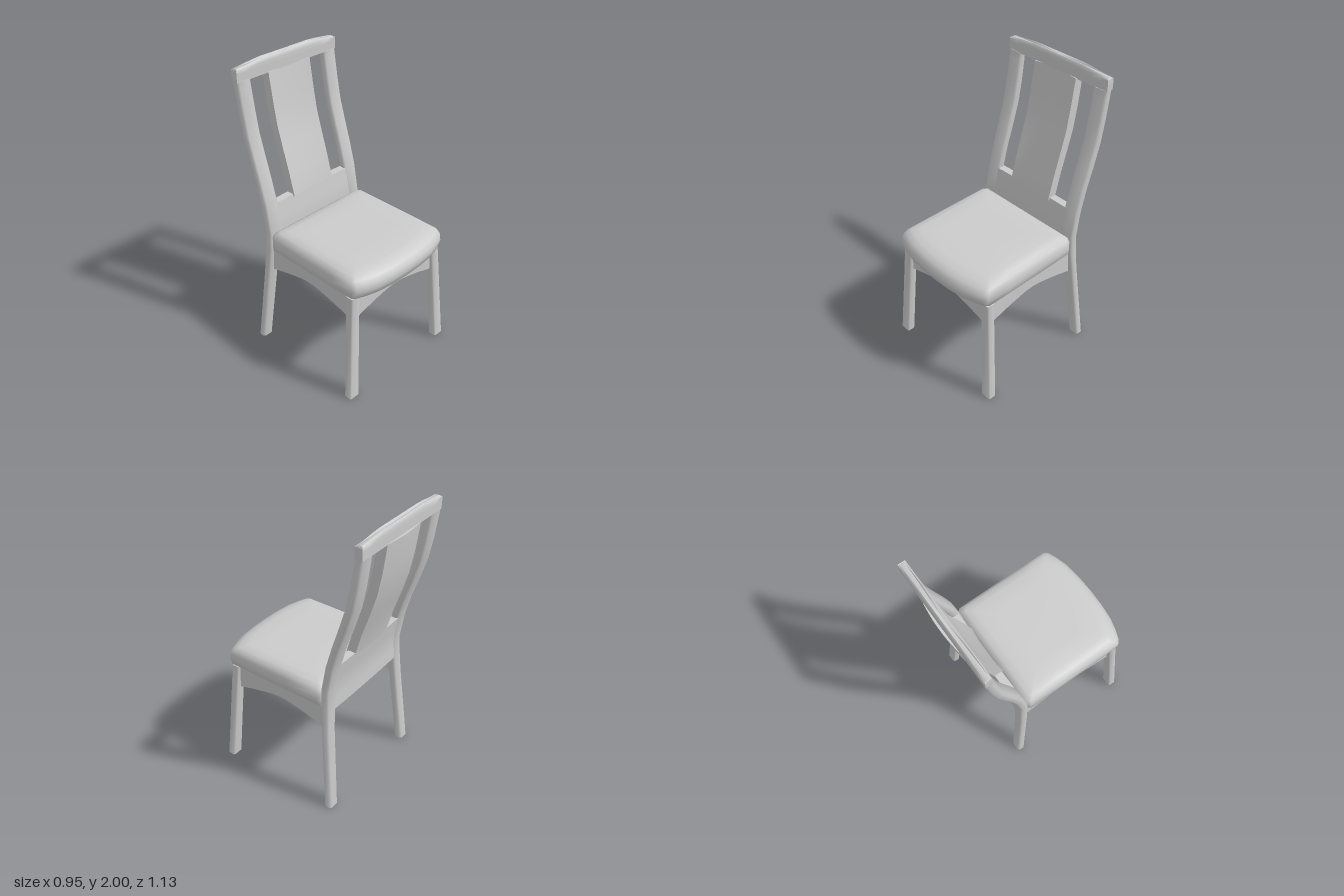
import * as THREE from 'three';
import { toCreasedNormals } from 'three/addons/utils/BufferGeometryUtils.js';

const material = new THREE.MeshStandardMaterial({ color: 0xcccccc });

function addMesh(group, name, geometry, crease = 0.95) {
  const mesh = new THREE.Mesh(toCreasedNormals(geometry, crease), material);
  mesh.name = name;
  group.add(mesh);
  return mesh;
}

// Closed skin through rings stacked upwards; rings run +z, +x, -z, -x
function loft(rings) {
  const n = rings[0].length;
  const pos = rings.flat(2);
  const idx = [];
  for (let i = 0; i < rings.length - 1; i++) {
    for (let j = 0; j < n; j++) {
      const k = (j + 1) % n;
      const a = i * n + j, b = i * n + k, c = a + n, d = b + n;
      idx.push(a, b, d, a, d, c);
    }
  }
  // End caps fan out from the ring centres
  [rings[0], rings[rings.length - 1]].forEach((ring, top) => {
    const centre = pos.length / 3;
    for (let m = 0; m < 3; m++) pos.push(ring.reduce((s, p) => s + p[m], 0) / n);
    const base = top ? (rings.length - 1) * n : 0;
    for (let j = 0; j < n; j++) {
      const a = base + j, b = base + (j + 1) % n;
      if (top) idx.push(centre, a, b);
      else idx.push(centre, b, a);
    }
  });
  const g = new THREE.BufferGeometry();
  g.setAttribute('position', new THREE.Float32BufferAttribute(pos, 3));
  g.setIndex(idx);
  return g;
}

// Rectangle with clipped corners at height y, mirrored by side
function barRing(side, y, xIn, xOut, zFront, zBack, c = 0.012) {
  const x0 = Math.min(side * xIn, side * xOut), x1 = Math.max(side * xIn, side * xOut);
  return [
    [x0 + c, zFront], [x1 - c, zFront], [x1, zFront - c], [x1, zBack + c],
    [x1 - c, zBack], [x0 + c, zBack], [x0, zBack + c], [x0, zFront - c],
  ].map(([x, z]) => [x, y, z]);
}

// Wide board ring: front edge left to right, then the back edge in return
function boardRing(half, zFront, zBack, yAt, bow = 0, cols = 12) {
  const ring = [];
  for (const [dir, z] of [[1, zFront], [-1, zBack]]) {
    for (let i = 0; i <= cols; i++) {
      const t = dir * (2 * i / cols - 1);
      ring.push([t * half, yAt(Math.abs(t * half)), z - bow * (1 - t * t)]);
    }
  }
  return ring;
}

// Side profile of the back: y, inner x, outer x, front z, back z
const PROFILE = [
  [0, 0.395, 0.475, -0.345, -0.402],
  [0.6, 0.35, 0.434, -0.289, -0.345],
  [0.76, 0.335, 0.422, -0.275, -0.335],
  [0.9, 0.32, 0.417, -0.272, -0.33],
  [1.09, 0.31, 0.415, -0.304, -0.362],
  [1.25, 0.31, 0.415, -0.348, -0.405],
  [1.4, 0.31, 0.415, -0.395, -0.455],
  [1.55, 0.31, 0.415, -0.44, -0.5],
  [1.7, 0.31, 0.415, -0.468, -0.528],
  [1.85, 0.31, 0.415, -0.492, -0.548],
  [1.9, 0.31, 0.415, -0.5, -0.553],
];

function backAt(y) {
  let i = 1;
  while (i < PROFILE.length - 1 && PROFILE[i][0] < y) i++;
  const a = PROFILE[i - 1], b = PROFILE[i];
  const t = (y - a[0]) / (b[0] - a[0]);
  return [3, 4].map((k) => a[k] + (b[k] - a[k]) * t);
}

function buildSeat(group) {
  // Plan outline with a bowed front
  const half = [[0.13, 0.561], [0.25, 0.548], [0.34, 0.523], [0.4, 0.5], [0.422, 0.478],
    [0.424, 0.3], [0.424, 0], [0.422, -0.25], [0.4, -0.276], [0.2, -0.276]];
  const outline = [[0, 0.565], ...half, [0, -0.276], ...half.map(([x, z]) => [-x, z]).reverse()];
  // y, inset at sides, front and back
  const layers = [
    [0.76, 0.05, 0.075, 0.02], [0.765, 0.025, 0.04, 0.008], [0.785, 0.005, 0.012, 0],
    [0.83, 0, 0, 0], [0.87, 0.002, 0.004, 0], [0.9, 0.015, 0.03, 0.01],
    [0.92, 0.04, 0.065, 0.04], [0.93, 0.09, 0.12, 0.09], [0.932, 0.2, 0.25, 0.2],
  ];
  addMesh(group, 'seat', loft(layers.map(([y, side, front, back]) => outline.map(([x, z]) => {
    const t = (z + 0.276) / 0.841;
    return [x * (1 - side / 0.424), y, z - front * t + back * (1 - t)];
  }))), 1.1);
}

function buildApron(group, name, a, b, rise) {
  const s = new THREE.Shape();
  s.moveTo(a, 0.77);
  s.lineTo(a, 0.595);
  const mid = (a + b) / 2, q = (b - a) / 4;
  s.splineThru([[mid - q, 0.645], [mid, rise], [mid + q, 0.645], [b, 0.595]]
    .map(([x, y]) => new THREE.Vector2(x, y)));
  s.lineTo(b, 0.77);
  s.closePath();
  return addMesh(group, name, new THREE.ExtrudeGeometry(s, { depth: 0.022, bevelEnabled: false, curveSegments: 4 }), 0.6);
}

export function createModel() {
  const chair = new THREE.Group();
  chair.name = 'chair';
  buildSeat(chair);

  for (const side of [1, -1]) {
    const label = side > 0 ? 'left' : 'right';
    // Back leg and back post in one bent piece
    addMesh(chair, label + 'BackPost', loft(PROFILE.map(([y, xi, xo, zf, zb]) => barRing(side, y, xi, xo, zf, zb))));
    addMesh(chair, label + 'FrontLeg', loft([
      barRing(side, 0, 0.395, 0.475, 0.525, 0.466, 0.008),
      barRing(side, 0.775, 0.345, 0.416, 0.475, 0.418, 0.008),
    ]));
    // Side apron, turned to run front to back
    const apron = buildApron(chair, label + 'Apron', -0.435, 0.3, 0.675);
    apron.rotation.y = Math.PI / 2;
    apron.position.x = side > 0 ? 0.372 : -0.394;
  }
  buildApron(chair, 'frontApron', -0.355, 0.355, 0.672).position.z = 0.438;

  // Lower back panel between the posts
  addMesh(chair, 'backPanel', loft([0.745, 0.83, 0.9, 0.99, 1.09].map((y) => {
    const [zf, zb] = backAt(y);
    return boardRing(0.345, zf - 0.003, zb + 0.003, () => y, 0.004);
  })));

  // Top rail with eased corners
  const rail = [[1.895, 0.415, 0, 0], [1.95, 0.417, 0, 0], [1.975, 0.415, 0, 0], [1.992, 0.41, 0.003, 1], [2, 0.405, 0.01, 1]];
  addMesh(chair, 'topRail', loft(rail.map(([y, half, inset, ease]) =>
    boardRing(half, -0.503 - inset, -0.553 + inset, (x) => y - ease * 0.02 * Math.max(0, (x - 0.22) / 0.19)))));

  // Bowed centre slat
  addMesh(chair, 'backSlat', loft([1.075, 1.09, 1.25, 1.4, 1.55, 1.7, 1.85, 1.9].map((y) => {
    const [zf, zb] = backAt(y);
    return boardRing(0.175, zf + 0.006, zb - 0.002, () => y, 0.013);
  })));
  return chair;
}
